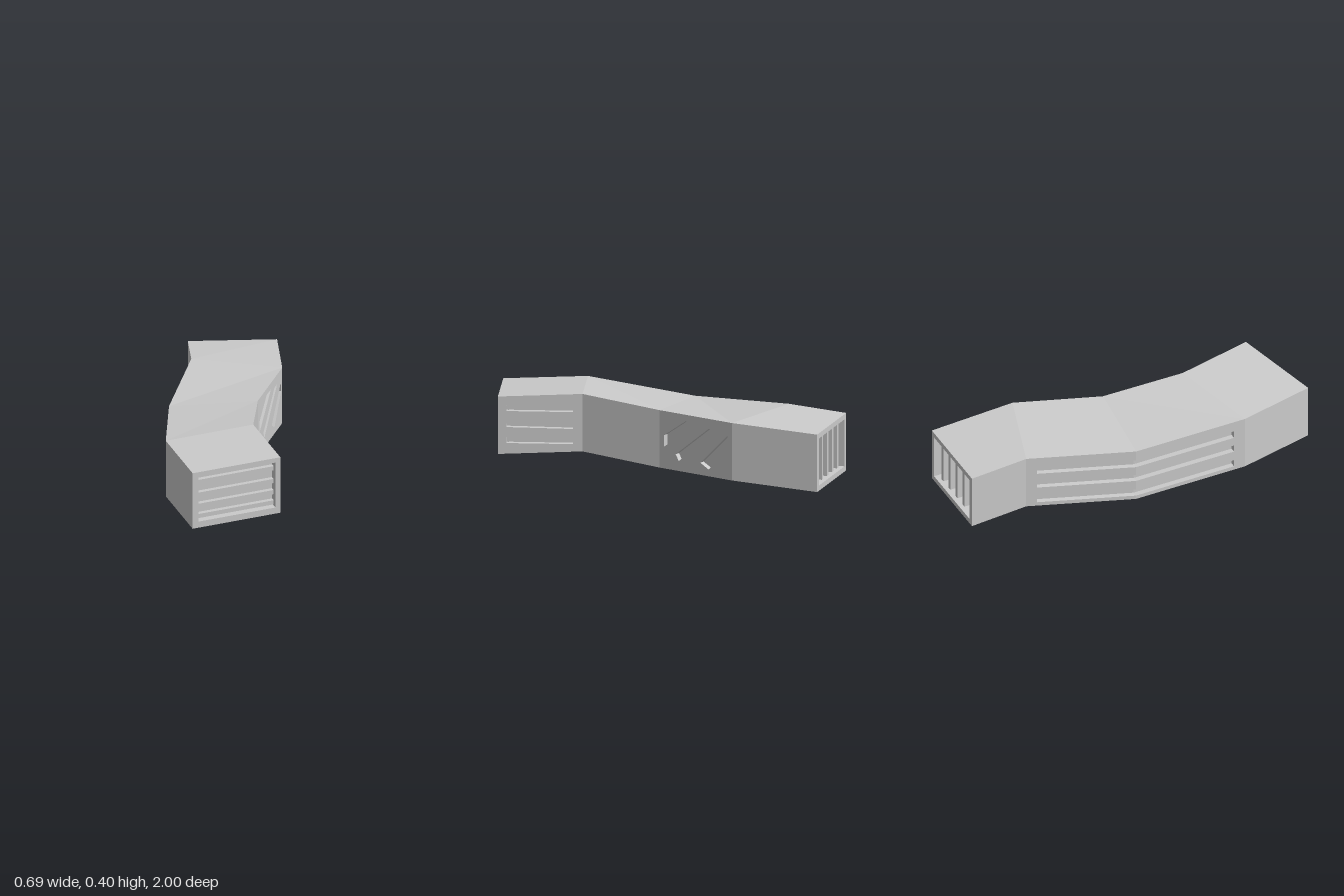
import * as THREE from 'three';

const V = (x, y, z) => new THREE.Vector3(x, y, z);
const H = 0.323; // duct height

// Bend stations, front to back: lower left-hand (-x) and right-hand (+x) corners
const stations = [
  [V(-0.228, 0.022, 1.0), V(0.257, 0.053, 0.865)],
  [V(-0.349, 0.043, 0.555), V(0.135, 0.075, 0.42)],
  [V(-0.295, 0.0, -0.08), V(0.187, 0.037, -0.04)],
  [V(-0.14, 0.045, -0.67), V(0.346, 0.045, -0.51)],
  [V(-0.14, 0.022, -1.0), V(0.346, 0.022, -1.0)],
];
const lo = (i, s) => stations[i][s].clone();
const hi = (i, s) => lo(i, s).add(V(0, H, 0));

const material = new THREE.MeshStandardMaterial({ color: 0xcccccc, flatShading: true });
const rect = (u0, u1, v0, v1) => [[u0, v0], [u1, v0], [u1, v1], [u0, v1]];

// Bilinear surface over four corners, with an inset along its inward normal
function patch([a, b, c, d], inward) {
  const n = inward || b.clone().sub(a).cross(d.clone().sub(a)).normalize().negate();
  return (u, v, w = 0) => a.clone().lerp(b, u).lerp(d.clone().lerp(c, u), v).addScaledVector(n, w);
}

function meshFrom(name, points) {
  const g = new THREE.BufferGeometry().setFromPoints(points);
  g.computeVertexNormals();
  const m = new THREE.Mesh(g, material);
  m.name = name;
  return m;
}

// Flat wall with recessed slots; a slot that reaches u = 0 or u = 1 stays open on that edge
function panel(name, P, slots = [], depth = 0.03) {
  const touches = (s, u) => s.some((p) => p[0] === u);
  const outline = [[0, 0], [1, 0]];
  slots.filter((s) => touches(s, 1)).forEach((s) => outline.push(s[1], s[0], s[3], s[2]));
  outline.push([1, 1], [0, 1]);
  slots.filter((s) => touches(s, 0)).reverse().forEach((s) => outline.push(s[3], s[2], s[1], s[0]));
  const toV2 = (list) => list.map((p) => new THREE.Vector2(...p));

  const points = [];
  const fill = (contour, holes, w) => {
    const shape = new THREE.Shape(toV2(contour));
    shape.holes = holes.map((h) => new THREE.Path(toV2(h)));
    const pos = new THREE.ShapeGeometry(shape).toNonIndexed().attributes.position;
    for (let i = 0; i < pos.count; i++) points.push(P(pos.getX(i), pos.getY(i), w));
  };
  fill(outline, slots.filter((s) => !touches(s, 0) && !touches(s, 1)), 0);

  for (const s of slots) {
    fill(s, [], depth); // slot floor
    s.forEach((p, i) => { // slot walls
      const q = s[(i + 1) % s.length];
      if (p[0] === q[0] && (p[0] === 0 || p[0] === 1)) return;
      const [A, B, C, D] = [P(...p), P(...q), P(...q, depth), P(...p, depth)];
      points.push(A, B, C, A, C, D);
    });
  }
  return meshFrom(name, points);
}

// Louvre bar standing in an end opening
function bar(name, P, u0, u1, v0, v1, w0, w1) {
  const pos = new THREE.BoxGeometry(1, 1, 1).toNonIndexed().attributes.position;
  const mix = THREE.MathUtils.lerp;
  const points = [];
  for (let i = 0; i < pos.count; i++) {
    points.push(P(mix(u0, u1, pos.getX(i) + 0.5), mix(v0, v1, pos.getY(i) + 0.5), mix(w1, w0, pos.getZ(i) + 0.5)));
  }
  return meshFrom(name, points);
}

// Slot corners given as (z, y) on a +x wall, turned into that wall's own coordinates
const onWall = (i, list) => list.map(([z, y]) => {
  const [a, b] = [lo(i, 1), lo(i + 1, 1)];
  const u = (z - a.z) / (b.z - a.z);
  return [u, (y - a.y - (b.y - a.y) * u) / H];
});

export function createModel() {
  const group = new THREE.Group();
  group.name = 'bentVentDuct';

  // Slots by segment
  const leftSideSlots = {
    0: [
      [[0.82, 0.115], [0.47, 0.115], [0.47, 0.15], [0.82, 0.15]],
      [[0.82, 0.205], [0.47, 0.2], [0.47, 0.255], [0.82, 0.23]],
      [[0.82, 0.295], [0.47, 0.295], [0.47, 0.327], [0.82, 0.327]],
    ].map((s) => onWall(0, s)),
    2: [
      [[-0.07, 0.16], [-0.29, 0.327], [-0.21, 0.327], [-0.07, 0.225]],
      [[-0.165, 0.095], [-0.41, 0.31], [-0.36, 0.31], [-0.145, 0.13]],
      [[-0.36, 0.08], [-0.49, 0.24], [-0.48, 0.29], [-0.305, 0.11]],
    ].map((s) => onWall(2, s)),
  };
  const rows = [[0.07, 0.2], [0.38, 0.51], [0.67, 0.81]];
  const rightSideSlots = {
    1: rows.map(([a, b]) => rect(0, 0.9, a, b)),
    2: rows.map(([a, b]) => rect(0.1, 1, a, b)),
  };
  const bottomSlots = {
    2: [
      [[0.14, 0.31], [0.83, 0.29], [0.83, 0.36], [0.14, 0.39]],
      [[0.16, 0.56], [0.86, 0.55], [0.86, 0.62], [0.16, 0.64]],
      [[0.16, 0.79], [0.89, 0.82], [0.89, 0.89], [0.16, 0.87]],
    ],
  };

  // Four walls of every duct segment
  for (let i = 0; i < 4; i++) {
    const j = i + 1;
    group.add(
      panel('leftWall', patch([lo(i, 1), lo(j, 1), hi(j, 1), hi(i, 1)]), leftSideSlots[i]),
      panel('rightWall', patch([lo(j, 0), lo(i, 0), hi(i, 0), hi(j, 0)], V(1, 0, 0)), rightSideSlots[i]),
      panel('topWall', patch([hi(i, 0), hi(i, 1), hi(j, 1), hi(j, 0)])),
      panel('bottomWall', patch([lo(i, 1), lo(i, 0), lo(j, 0), lo(j, 1)]), bottomSlots[i]),
    );
  }

  // Front opening with horizontal louvres
  const front = patch([lo(0, 0), lo(0, 1), hi(0, 1), hi(0, 0)]);
  group.add(panel('frontFrame', front, [rect(0.065, 0.945, 0.11, 0.92)], 0.06));
  for (const v of [0.17, 0.355, 0.555, 0.785]) {
    group.add(bar('frontLouvre', front, 0.065, 0.945, v - 0.037, v + 0.037, 0.03, 0.06));
  }

  // Back opening with vertical louvres
  const back = patch([lo(4, 1), lo(4, 0), hi(4, 0), hi(4, 1)]);
  group.add(panel('backFrame', back, [rect(0.055, 0.945, 0.09, 0.91)], 0.06));
  for (let k = 0; k < 5; k++) {
    const u = 0.16 + k * 0.175;
    group.add(bar('backLouvre', back, u - 0.025, u + 0.025, 0.09, 0.91, 0.025, 0.06));
  }
  return group;
}
